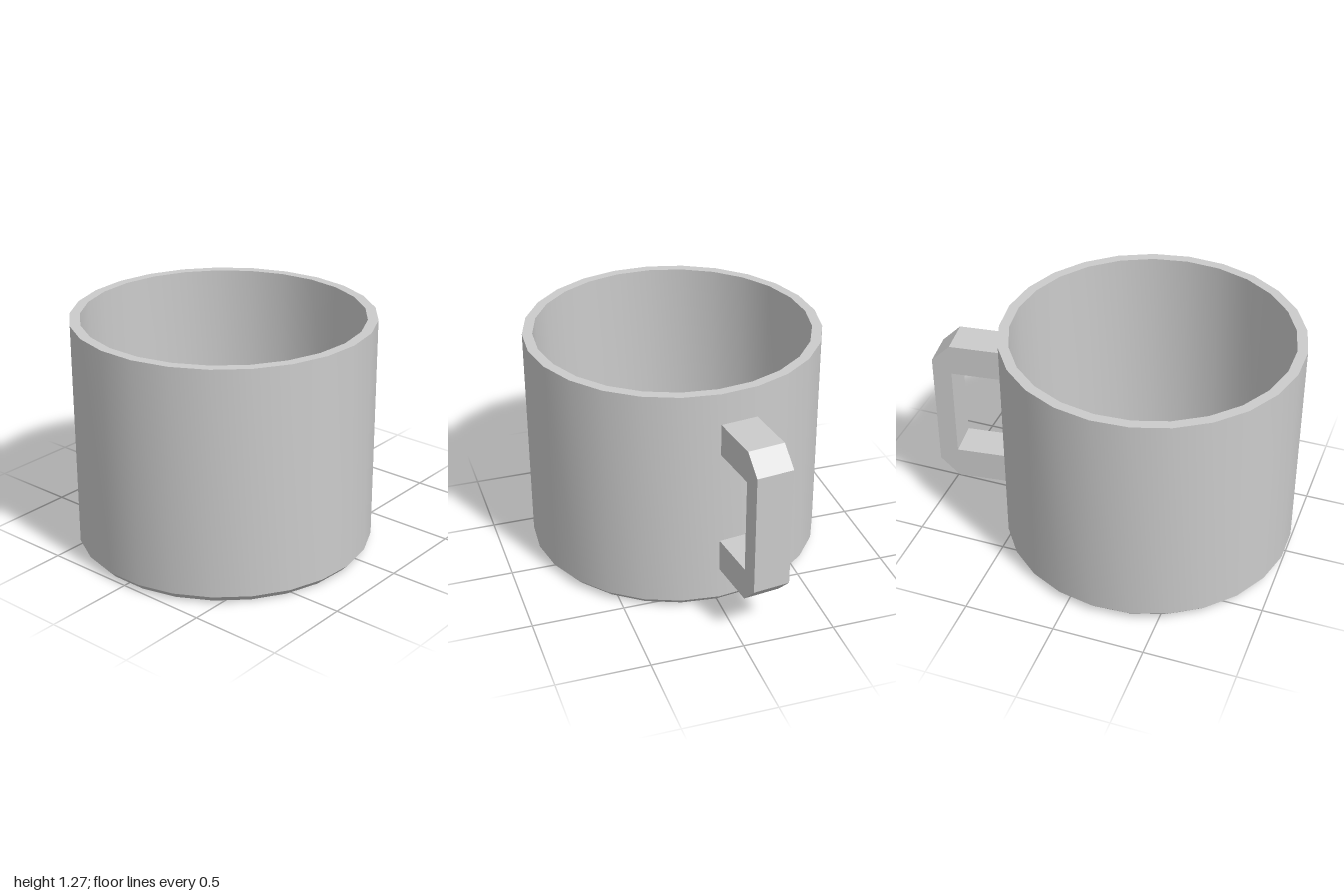
import * as THREE from 'three';
import { toCreasedNormals } from 'three/addons/utils/BufferGeometryUtils.js';

const SIDES = 25;
const RADIUS = 0.808;
const HALF_STEP = Math.PI / SIDES;

const points = (list) => list.map(([x, y]) => new THREE.Vector2(x, y));

export function createModel() {
  const mug = new THREE.Group();
  mug.name = 'mug';
  mug.position.x = -0.198;
  const material = new THREE.MeshStandardMaterial({ color: 0xcccccc });

  // Hollow cup: underside, bevelled foot, wall, flat rim, inner wall, bevelled floor
  const profile = points([
    [0, 0], [0.77, 0], [RADIUS, 0.04], [RADIUS, 1.275],
    [0.753, 1.275], [0.753, 0.09], [0.713, 0.05], [0, 0.05],
  ]);
  const cupGeometry = new THREE.LatheGeometry(profile, SIDES, Math.PI / 2);
  const cup = new THREE.Mesh(toCreasedNormals(cupGeometry, Math.PI / 6), material);
  cup.name = 'cup';
  mug.add(cup);

  // Handle: a C outline with cut outer corners, as wide as one side of the cup
  const outline = new THREE.Shape(points([
    [0, 0.22], [0.287, 0.22], [0.39, 0.325], [0.39, 1.0], [0.287, 1.1],
    [0, 1.1], [0, 0.925], [0.285, 0.925], [0.285, 0.4], [0, 0.4],
  ]));
  const width = 2 * RADIUS * Math.sin(HALF_STEP);
  const handleGeometry = new THREE.ExtrudeGeometry(outline, { depth: width, bevelEnabled: false });
  // Seat it on the flat side just behind the +x edge
  handleGeometry.translate(RADIUS * Math.cos(HALF_STEP), 0, -width / 2);
  const handle = new THREE.Mesh(handleGeometry, material);
  handle.name = 'handle';
  handle.rotation.y = HALF_STEP;
  mug.add(handle);

  const model = new THREE.Group();
  model.add(mug);
  return model;
}
